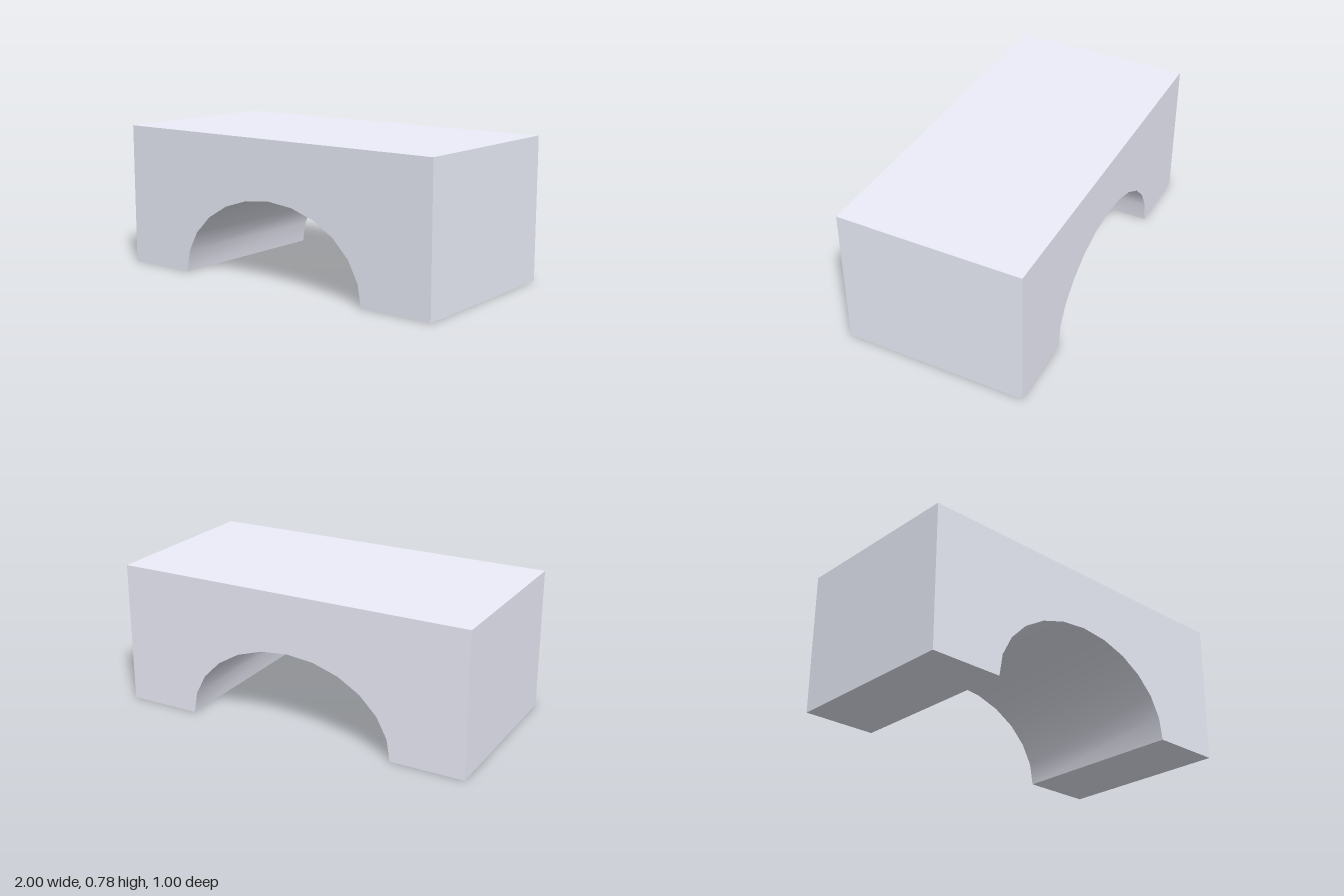
import * as THREE from 'three';
import { toCreasedNormals } from 'three/addons/utils/BufferGeometryUtils.js';

const WIDTH = 2, HEIGHT = 0.78, DEPTH = 1;
const ARCH_HALF_WIDTH = 0.595, ARCH_HEIGHT = 0.46, ARCH_SEGMENTS = 12;

export function createModel() {
  const group = new THREE.Group();
  group.name = 'archBlock';

  // Rectangular outline with a half-ellipse cut into its base
  const outline = [
    new THREE.Vector2(-WIDTH / 2, 0),
    new THREE.Vector2(-ARCH_HALF_WIDTH, 0),
  ];
  for (let i = 1; i < ARCH_SEGMENTS; i++) {
    const a = Math.PI * (1 - i / ARCH_SEGMENTS);
    outline.push(new THREE.Vector2(ARCH_HALF_WIDTH * Math.cos(a), ARCH_HEIGHT * Math.sin(a)));
  }
  outline.push(
    new THREE.Vector2(ARCH_HALF_WIDTH, 0),
    new THREE.Vector2(WIDTH / 2, 0),
    new THREE.Vector2(WIDTH / 2, HEIGHT),
    new THREE.Vector2(-WIDTH / 2, HEIGHT),
  );

  // Solid block: smooth tunnel, sharp outer edges
  const geometry = new THREE.ExtrudeGeometry(new THREE.Shape(outline), {
    depth: DEPTH,
    bevelEnabled: false,
  });
  geometry.translate(0, 0, -DEPTH / 2);

  const block = new THREE.Mesh(
    toCreasedNormals(geometry, 0.6),
    new THREE.MeshStandardMaterial({ color: 0xeceefa }),
  );
  block.name = 'block';
  group.add(block);
  return group;
}
